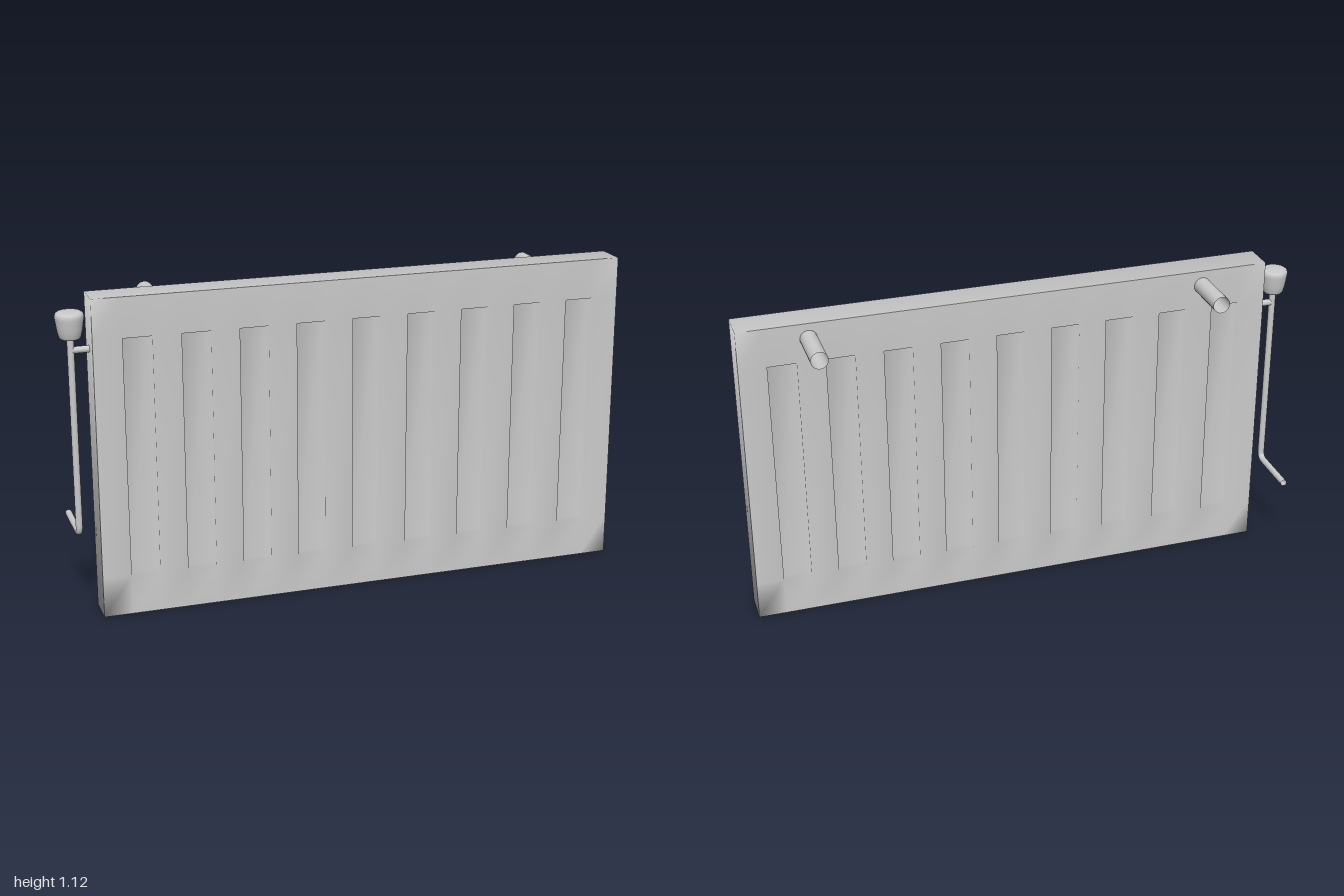
import * as THREE from 'three';
import { mergeVertices } from 'three/addons/utils/BufferGeometryUtils.js';

const X0 = -0.89, X1 = 1, H = 1.12, ZB = 0.03, ZF = 0.145, DEPTH = 0.03;
const GROOVES = 9, PITCH = 0.199, GROOVE_W = 0.1, Y0 = 0.14, Y1 = 0.98;

const material = new THREE.MeshStandardMaterial({ color: 0xcccccc });
const thin = new THREE.MeshStandardMaterial({ color: 0xcccccc, side: THREE.DoubleSide });

function part(name, geometry, mat = material) {
  const mesh = new THREE.Mesh(geometry, mat);
  mesh.name = name;
  return mesh;
}

// Slab with vertical grooves pressed into both faces, softly shaded across its edges
function panelGeometry() {
  const pos = [];
  const quad = (a, b, c, d) => pos.push(...a, ...b, ...c, ...a, ...c, ...d);

  const xs = [X0];
  for (let i = 0; i < GROOVES; i++) {
    const x = -0.79 + i * PITCH;
    xs.push(x, x + GROOVE_W);
  }
  xs.push(X1);
  const ys = [0, Y0, Y1, H];

  for (const front of [true, false]) {
    const z = front ? ZF : ZB;
    const zi = front ? ZF - DEPTH : ZB + DEPTH;
    const face = (a, b, c, d) => (front ? quad(a, b, c, d) : quad(d, c, b, a));
    for (let i = 0; i < xs.length - 1; i++) {
      for (let j = 0; j < 3; j++) {
        const [l, r, b, t] = [xs[i], xs[i + 1], ys[j], ys[j + 1]];
        const groove = i % 2 === 1 && j === 1;
        const f = groove ? zi : z;
        face([l, b, f], [r, b, f], [r, t, f], [l, t, f]);
        if (!groove) continue;
        // groove walls
        face([l, b, z], [l, b, zi], [l, t, zi], [l, t, z]);
        face([r, b, zi], [r, b, z], [r, t, z], [r, t, zi]);
        face([l, b, z], [r, b, z], [r, b, zi], [l, b, zi]);
        face([l, t, zi], [r, t, zi], [r, t, z], [l, t, z]);
      }
    }
  }
  // ends, top and bottom
  quad([X1, 0, ZF], [X1, 0, ZB], [X1, H, ZB], [X1, H, ZF]);
  quad([X0, 0, ZB], [X0, 0, ZF], [X0, H, ZF], [X0, H, ZB]);
  quad([X0, H, ZF], [X1, H, ZF], [X1, H, ZB], [X0, H, ZB]);
  quad([X0, 0, ZB], [X1, 0, ZB], [X1, 0, ZF], [X0, 0, ZF]);

  const raw = new THREE.BufferGeometry();
  raw.setAttribute('position', new THREE.Float32BufferAttribute(pos, 3));
  const geometry = mergeVertices(raw);
  geometry.computeVertexNormals();
  return geometry;
}

export function createModel() {
  const model = new THREE.Group();
  model.name = 'radiator';
  model.add(part('panel', panelGeometry()));

  // Open wall pipes at the back
  for (const x of [-0.65, 0.757]) {
    const pipe = part('wallPipe', new THREE.CylinderGeometry(0.03, 0.03, 0.18, 24, 1, true), thin);
    pipe.rotation.x = Math.PI / 2;
    pipe.position.set(x, 1.065, -0.055);
    model.add(pipe);
  }

  // Valve: knob, supply pipe with a bend towards the wall, and link to the panel
  const valve = new THREE.Group();
  valve.name = 'valve';
  valve.position.set(-0.951, 0, 0.083);

  const profile = [
    [0, 0.978], [0.032, 0.978], [0.037, 0.985], [0.043, 1.01], [0.048, 1.045],
    [0.049, 1.056], [0.046, 1.064], [0.039, 1.069], [0, 1.07],
  ].map(([r, y]) => new THREE.Vector2(r, y));
  valve.add(part('valveKnob', new THREE.LatheGeometry(profile, 24)));

  const path = new THREE.CurvePath();
  const v = (y, z) => new THREE.Vector3(0, y, z);
  path.add(new THREE.LineCurve3(v(0.98, 0), v(0.32, 0)));
  path.add(new THREE.QuadraticBezierCurve3(v(0.32, 0), v(0.292, 0), v(0.292, -0.028)));
  path.add(new THREE.LineCurve3(v(0.292, -0.028), v(0.292, -0.208)));
  valve.add(part('supplyPipe', new THREE.TubeGeometry(path, 80, 0.012, 12), thin));

  const link = part('panelLink', new THREE.CylinderGeometry(0.012, 0.012, 0.07, 12));
  link.rotation.z = Math.PI / 2;
  link.position.set(0.033, 0.938, 0);
  valve.add(link);

  model.add(valve);
  return model;
}
